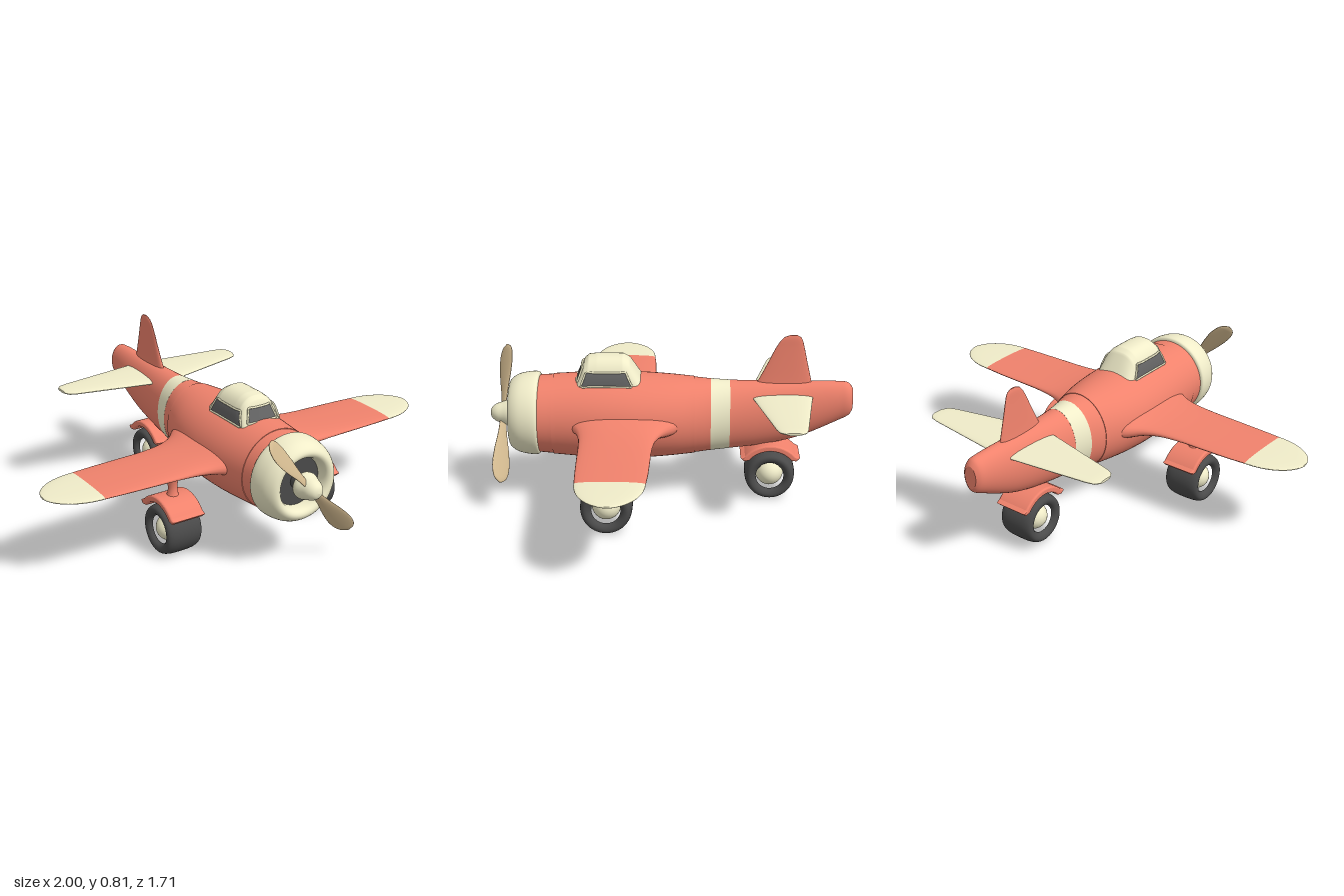
import * as THREE from 'three';

const paint = (color) => new THREE.MeshStandardMaterial({ color });
const red = paint(0xf0826c), cream = paint(0xf0ecc9), dark = paint(0x4a4a4a);
const glass = paint(0x646464), wood = paint(0xd3ba90);
glass.side = THREE.DoubleSide;

const AXIS_Y = 0.417;

function add(parent, name, geometry, material, x = 0, y = 0, z = 0) {
  const mesh = new THREE.Mesh(geometry, material);
  mesh.name = name;
  mesh.position.set(x, y, z);
  parent.add(mesh);
  return mesh;
}

// Skin through closed rings of points, with flat end caps
function loft(rings) {
  const n = rings[0].length, pos = [], idx = [];
  rings.forEach((r) => r.forEach((p) => pos.push(...p)));
  for (let i = 0; i < rings.length - 1; i++) {
    for (let j = 0; j < n; j++) {
      const a = i * n + j, b = i * n + (j + 1) % n;
      idx.push(a, b, a + n, b, b + n, a + n);
    }
  }
  [rings[0], rings[rings.length - 1]].forEach((r, end) => {
    const base = pos.length / 3;
    r.forEach((p) => pos.push(...p));
    pos.push(...[0, 1, 2].map((k) => r.reduce((s, p) => s + p[k], 0) / n));
    for (let j = 0; j < n; j++) {
      const a = base + j, b = base + (j + 1) % n;
      idx.push(base + n, ...(end ? [a, b] : [b, a]));
    }
  });
  const g = new THREE.BufferGeometry();
  g.setAttribute('position', new THREE.Float32BufferAttribute(pos, 3));
  g.setIndex(idx);
  g.computeVertexNormals();
  return g;
}

// Smooth table lookup: rows [t, ...values] resampled between a and b
function resample(rows, a, b, n) {
  const size = rows[0].length - 1;
  const curve = new THREE.CubicInterpolant(rows.map((r) => r[0]), rows.flatMap((r) => r.slice(1)), size, new Float32Array(size));
  return Array.from({ length: n + 1 }, (_, i) => {
    const t = a + (b - a) * i / n;
    return [t, ...curve.evaluate(t)];
  });
}

const power = (v, e) => Math.sign(v) * Math.abs(v) ** e;

// Aerofoil along a span: stations [span, lead, trail, halfThickness]
function foil(stations, place, side = 1, e = 0.85) {
  return loft(stations.map(([s, lead, trail, h]) => Array.from({ length: 32 }, (_, j) => {
    const t = side * j / 32 * Math.PI * 2;
    return place(s, h * power(Math.cos(t), e), (lead + trail) / 2 + (lead - trail) / 2 * power(Math.sin(t), e));
  })));
}

const lathe = (pts, seg = 48) => new THREE.LatheGeometry(pts.map((p) => new THREE.Vector2(...p)), seg);
const smooth = (pts, n) => new THREE.SplineCurve(pts.map((p) => new THREE.Vector2(...p))).getPoints(n).map((p) => [Math.max(p.x, 0), p.y]);

// Body rows: [-z, top, bottom, halfWidth]
const BODY = [
  [-0.64, 0.6, 0.23, 0.185], [-0.55, 0.605, 0.222, 0.19], [-0.3, 0.617, 0.206, 0.212], [-0.15, 0.614, 0.208, 0.213],
  [0, 0.606, 0.217, 0.193], [0.12, 0.597, 0.227, 0.158], [0.2, 0.591, 0.236, 0.131], [0.28, 0.587, 0.244, 0.114],
  [0.4, 0.585, 0.258, 0.098], [0.6, 0.584, 0.302, 0.077], [0.8, 0.584, 0.392, 0.058], [0.83, 0.58, 0.408, 0.054],
  [0.85, 0.565, 0.424, 0.043], [0.857, 0.55, 0.44, 0.033],
];

function fuselage(group) {
  const parts = [
    ['noseSection', -0.64, -0.55, 4, 0.985, red], ['cabinSection', -0.55, 0.115, 28, 1, red],
    ['rearSection', 0.115, 0.19, 5, 0.985, red], ['bodyStripe', 0.19, 0.28, 6, 0.988, cream],
    ['tailSection', 0.28, 0.857, 56, 0.985, red],
  ];
  for (const [name, a, b, n, k, mat] of parts) {
    add(group, name, loft(resample(BODY, a, b, n).map(([t, top, bottom, w]) => Array.from({ length: 56 }, (_, j) => {
      const u = j / 56 * Math.PI * 2;
      return [k * w * Math.sin(u), (top + bottom) / 2 + k * (top - bottom) / 2 * Math.cos(u), -t];
    }))), mat);
  }
}

function nose(group) {
  const cowl = [[0.18, 0.615], [0.196, 0.623], [0.197, 0.66], [0.187, 0.71], [0.167, 0.745], [0.145, 0.757], [0.125, 0.745], [0.116, 0.71], [0.116, 0.65]];
  add(group, 'cowling', lathe(smooth(cowl, 40), 64).rotateX(Math.PI / 2), cream, 0, AXIS_Y);
  add(group, 'engineFace', new THREE.CylinderGeometry(0.13, 0.13, 0.03, 48).rotateX(Math.PI / 2), dark, 0, AXIS_Y, 0.68);
  add(group, 'propellerShaft', new THREE.CylinderGeometry(0.035, 0.035, 0.1, 24).rotateX(Math.PI / 2), dark, 0, AXIS_Y, 0.72);
  const spinner = [[0.06, 0.745], [0.062, 0.765], [0.052, 0.795], [0.042, 0.825], [0.024, 0.847], [0, 0.854]];
  add(group, 'spinner', lathe([[0, 0.745], ...smooth(spinner, 20)], 32).rotateX(Math.PI / 2), cream, 0, AXIS_Y);
  // Two pitched blades: rows [radius, halfChord]
  const rows = [[0.03, 0.018], [0.1, 0.026], [0.19, 0.045], [0.27, 0.052], [0.315, 0.042], [0.335, 0.026], [0.345, 0.006]];
  const c = Math.cos(0.73), s = Math.sin(0.73);
  const blade = loft(resample(rows, 0.03, 0.345, 24).map(([r, w]) => Array.from({ length: 20 }, (_, j) => {
    const t = j / 20 * Math.PI * 2, a = w * Math.cos(t), b = Math.min(0.007, w * 0.4) * Math.sin(t);
    return [r, a * c - b * s, a * s + b * c];
  })));
  for (const k of [0, 1]) add(group, 'propellerBlade', blade, wood, 0, AXIS_Y, 0.793).rotation.z = -0.864 + k * Math.PI;
}

// Canopy surface: linear roof profile with superelliptic arches
const ROOF = [[0.445, 0.58], [0.4, 0.69], [0.38, 0.708], [0.34, 0.713], [0.22, 0.712], [0.19, 0.695], [0.115, 0.575]];
const BASE = 0.54, HALF = 0.106, P = 2.5;
function roof(z) {
  const i = Math.max(1, ROOF.findIndex((r) => r[0] <= z + 1e-6));
  const [a, b] = [ROOF[i - 1], ROOF[i]];
  return b[1] + (a[1] - b[1]) * (z - b[0]) / (a[0] - b[0]);
}
const arch = (v) => Math.max(0, 1 - Math.abs(v) ** P) ** (1 / P);

function canopy(group) {
  add(group, 'canopy', loft(Array.from({ length: 67 }, (_, i) => {
    const z = 0.445 - i * 0.005;
    return Array.from({ length: 48 }, (_, j) => {
      const t = j / 48 * Math.PI * 2;
      return [HALF * power(Math.sin(t), 2 / P), BASE + (roof(z) - BASE) * power(Math.cos(t), 2 / P), z];
    });
  })), cream);
  // Panes follow the canopy just above its surface, each with a raised frame
  const pane = (name, at) => {
    const n = 12, pos = [], idx = [];
    for (let i = 0; i <= n; i++) for (let j = 0; j <= n; j++) {
      pos.push(...at(i / n, j / n));
      if (i < n && j < n) {
        const a = i * (n + 1) + j;
        idx.push(a, a + n + 1, a + 1, a + 1, a + n + 1, a + n + 2);
      }
    }
    const g = new THREE.BufferGeometry();
    g.setAttribute('position', new THREE.Float32BufferAttribute(pos, 3));
    g.setIndex(idx);
    g.computeVertexNormals();
    add(group, name, g, glass);
    const edge = [];
    for (const [u, v, du, dv] of [[0, 0, 1, 0], [1, 0, 0, 1], [1, 1, -1, 0], [0, 1, 0, -1]]) {
      for (let k = 0; k < 5; k++) edge.push(new THREE.Vector3(...at(u + du * k / 5, v + dv * k / 5)));
    }
    add(group, name + 'Frame', new THREE.TubeGeometry(new THREE.CatmullRomCurve3(edge, true), 60, 0.005, 6, true), cream);
  };
  for (const s of [1, -1]) {
    pane('sideWindow', (u, v) => {
      const y = 0.59 + 0.064 * v;
      const z = THREE.MathUtils.lerp(0.415 - 0.025 * v, 0.175 + 0.03 * v, u);
      return [s * (HALF * arch((y - BASE) / (roof(z) - BASE)) + 0.004), y, z];
    });
  }
  pane('windscreen', (u, v) => {
    const y = 0.605 + 0.062 * v, x = (u * 2 - 1) * (0.078 - 0.02 * v);
    const top = BASE + (y - BASE) / arch(x / HALF);
    return [x, y, 0.449 - (top - 0.58) / 0.11 * 0.045];
  });
}

function wings(group) {
  const rows = [
    [0.1, 0.5, -0.09, 0.085], [0.19, 0.455, -0.03, 0.058], [0.24, 0.431, 0.022, 0.045], [0.3, 0.416, 0.055, 0.034], [0.4, 0.408, 0.074, 0.024],
    [0.55, 0.404, 0.08, 0.017], [0.7, 0.399, 0.085, 0.013], [0.78, 0.395, 0.091, 0.011],
  ];
  const tip = Array.from({ length: 17 }, (_, i) => {
    const a = i / 16 * Math.PI / 2 * 0.985, w = 0.152 * Math.cos(a);
    return [0.78 + 0.22 * Math.sin(a), 0.243 + w, 0.243 - w, 0.004 + 0.007 * Math.cos(a)];
  });
  const stab = [[0.02, -0.372, -0.672, 0.014], [0.08, -0.388, -0.663, 0.014], [0.44, -0.474, -0.616, 0.01], [0.475, -0.488, -0.606, 0.009], [0.492, -0.515, -0.585, 0.006]];
  for (const s of [1, -1]) {
    const at = (y0) => (x, h, z) => [s * x, y0 + h, z];
    add(group, 'wing', foil(resample(rows, 0.1, 0.78, 40), at(AXIS_Y - 0.002), s), red);
    add(group, 'wingTip', foil(tip, at(AXIS_Y - 0.002), s), cream);
    add(group, 'tailplane', foil(stab, at(0.522), s), cream);
  }
  const fin = [[0.55, -0.39, -0.668, 0.022], [0.59, -0.413, -0.66, 0.018], [0.68, -0.458, -0.639, 0.012], [0.76, -0.497, -0.621, 0.008], [0.79, -0.518, -0.612, 0.007], [0.806, -0.538, -0.6, 0.005], [0.811, -0.555, -0.588, 0.003]];
  add(group, 'tailFin', foil(resample(fin, 0.55, 0.811, 24), (y, h, z) => [h, y, z], -1), red);
}

// Wheel, mudguard and strut
function landingGear(group, x, z) {
  const gear = new THREE.Group();
  gear.name = 'landingGear';
  gear.position.set(x, 0.125, z);
  group.add(gear);
  const half = [[0.066, 0.066], [0.076, 0.082], [0.092, 0.089], [0.106, 0.084], [0.115, 0.065], [0.119, 0.03]];
  const tyre = [...half.map(([r, w]) => [r, -w]), ...half.slice().reverse()];
  add(gear, 'tyre', lathe(smooth(tyre, 44)).rotateZ(Math.PI / 2), dark);
  add(gear, 'wheelHub', new THREE.SphereGeometry(0.068, 32, 20), cream).scale.x = 1.2;
  const guard = new THREE.Shape();
  const a0 = Math.PI / 2 - 0.86, a1 = Math.PI / 2 + 0.86;
  guard.absarc(0, 0, 0.152, a0, a1, false);
  guard.lineTo(-0.13, 0.094);
  guard.lineTo(-0.122, 0.088);
  guard.absarc(0, 0, 0.138, a1, a0, true);
  guard.lineTo(0.122, 0.088);
  guard.lineTo(0.13, 0.094);
  const geo = new THREE.ExtrudeGeometry(guard, { depth: 0.15, bevelSize: 0.008, bevelThickness: 0.01, bevelSegments: 4, curveSegments: 24 });
  add(gear, 'mudguard', geo.translate(0, 0, -0.075).rotateY(Math.PI / 2), red);
  const strut = [[0.032, 0.15], [0.025, 0.165], [0.021, 0.19], [0.024, 0.22], [0.031, 0.25], [0.034, 0.265], [0.034, 0.285]];
  add(gear, 'strut', lathe(smooth(strut, 20), 24), red);
}

export function createModel() {
  const plane = new THREE.Group();
  plane.name = 'airplane';
  fuselage(plane);
  nose(plane);
  canopy(plane);
  wings(plane);
  for (const [x, z] of [[0.38, 0.285], [-0.38, 0.285], [0, -0.475]]) landingGear(plane, x, z);
  return plane;
}
